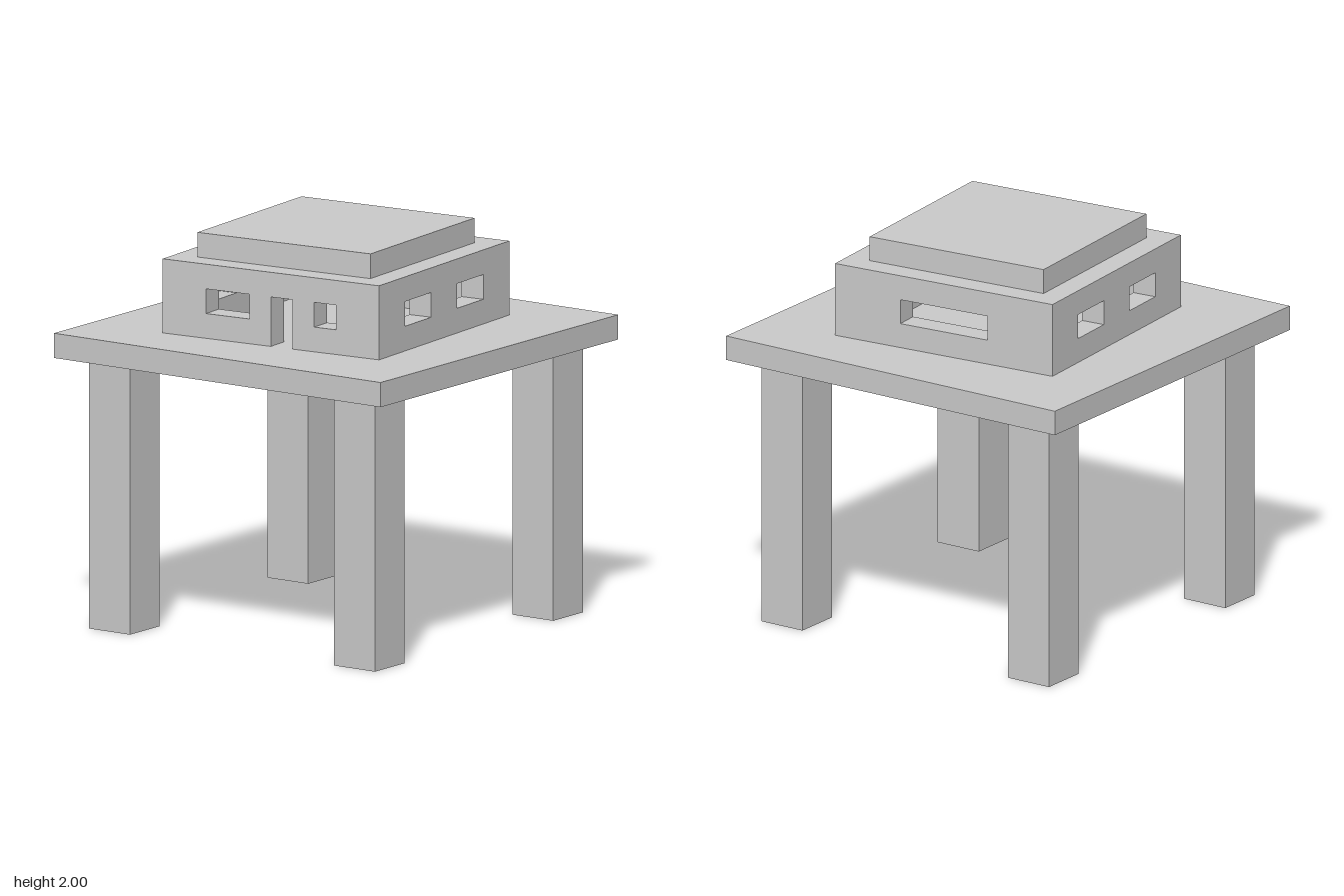
import * as THREE from 'three';

const material = new THREE.MeshStandardMaterial({ color: 0xcccccc, flatShading: true });

function add(parent, name, geometry, x = 0, y = 0, z = 0) {
  const mesh = new THREE.Mesh(geometry, material);
  mesh.name = name;
  mesh.position.set(x, y, z);
  parent.add(mesh);
  return mesh;
}

const WALL_HEIGHT = 0.375;
const THICKNESS = 0.125;
const HALF = 0.625;

// Upright wall with window holes and an optional doorway; its outer face is at z = HALF.
function wallGeometry(width, windows, door) {
  const w = width / 2;
  const outline = [[-w, 0]];
  if (door) outline.push([door[0], 0], [door[0], 0.25], [door[1], 0.25], [door[1], 0]);
  outline.push([w, 0], [w, WALL_HEIGHT], [-w, WALL_HEIGHT]);
  const shape = new THREE.Shape(outline.map(([x, y]) => new THREE.Vector2(x, y)));
  for (const [a, b] of windows) {
    const corners = [[a, 0.125], [a, 0.25], [b, 0.25], [b, 0.125]];
    shape.holes.push(new THREE.Path(corners.map(([x, y]) => new THREE.Vector2(x, y))));
  }
  return new THREE.ExtrudeGeometry(shape, { depth: THICKNESS, bevelEnabled: false })
    .translate(0, 0, HALF - THICKNESS);
}

export function createModel() {
  const model = new THREE.Group();
  model.name = 'houseOnTable';

  // Table
  add(model, 'tableTop', new THREE.BoxGeometry(2, 0.125, 2), 0, 1.4375, 0);
  for (const x of [-0.75, 0.75])
    for (const z of [-0.75, 0.75])
      add(model, 'tableLeg', new THREE.BoxGeometry(0.25, 1.375, 0.25), x, 0.6875, z);

  // Hollow house, turned slightly on the table
  const house = new THREE.Group();
  house.name = 'house';
  house.position.y = 1.5;
  house.rotation.y = THREE.MathUtils.degToRad(5);
  model.add(house);

  const pair = [[-0.375, -0.125], [0.125, 0.375]];
  const inner = 2 * (HALF - THICKNESS);
  add(house, 'frontWall', wallGeometry(2 * HALF, [[-0.375, -0.125], [0.25, 0.375]], [0, 0.125]));
  add(house, 'backWall', wallGeometry(2 * HALF, [[-0.25, 0.25]])).rotation.y = Math.PI;
  add(house, 'leftWall', wallGeometry(inner, pair)).rotation.y = Math.PI / 2;
  add(house, 'rightWall', wallGeometry(inner, pair)).rotation.y = -Math.PI / 2;

  // Flat roof slab closing the room
  add(house, 'roof', new THREE.BoxGeometry(1, 0.125, 1), 0, WALL_HEIGHT + 0.0625, 0);

  return model;
}
